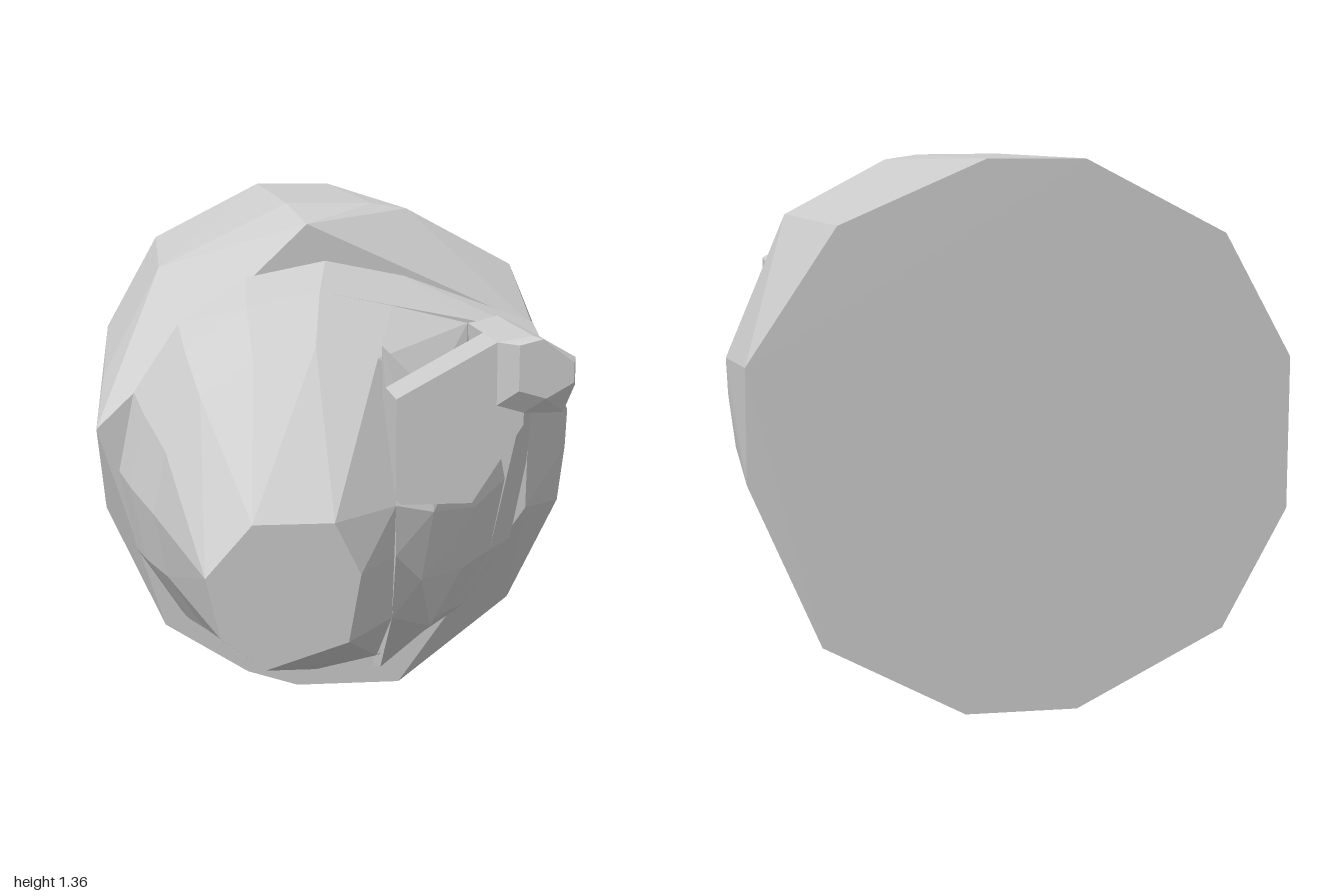
import * as THREE from 'three';
import { ConvexGeometry } from 'three/addons/geometries/ConvexGeometry.js';

// Lift a flat outline of [x, y] pairs to depth z
const at = (z, outline) => outline.map(([x, y]) => new THREE.Vector3(x, y, z));

// Elliptical section at depth z, optionally cut off at minX / maxX
function ring(left, right, bottom, top, z, minX = -9, maxX = 9, n = 16) {
  const pts = [];
  for (let i = 0; i < n; i++) {
    const a = (i / n) * Math.PI * 2;
    const x = (left + right) / 2 + Math.cos(a) * (right - left) / 2;
    const y = (bottom + top) / 2 + Math.sin(a) * (top - bottom) / 2;
    pts.push(new THREE.Vector3(THREE.MathUtils.clamp(x, minX, maxX), y, z));
  }
  return pts;
}

export function createModel() {
  const group = new THREE.Group();
  const material = new THREE.MeshStandardMaterial({ color: 0xcccccc, flatShading: true });

  const hull = (name, ...sections) => {
    const mesh = new THREE.Mesh(new ConvexGeometry(sections.flat()), material);
    mesh.name = name;
    group.add(mesh);
  };

  // Large faceted drum: back, shoulder and front sections
  hull('body',
    at(-1, [[0.1, 1.355], [0.455, 1.2], [0.675, 0.87], [0.675, 0.59], [0.5, 0.185], [0.15, 0],
      [-0.13, 0], [-0.5, 0.19], [-0.66, 0.49], [-0.66, 0.87], [-0.49, 1.175], [-0.14, 1.355]]),
    at(0.15, [[0.1, 1.35], [0.2, 1.335], [0.5, 1.175], [0.68, 0.75], [0.675, 0.64], [0.655, 0.48],
      [0.51, 0.19], [-0.66, 0.49], [-0.66, 0.87], [-0.5, 1.175], [-0.14, 1.352]]),
    at(0.33, [[-0.1, 1.305], [0.53, 1.02], [0.52, 0.5], [0.16, 0], [-0.13, 0], [-0.27, 0.045],
      [-0.5, 0.19], [-0.68, 0.75]]));

  // Two stepped collars in front of the drum
  hull('rearCollar',
    ring(-0.62, 0.52, 0.06, 1.205, 0.33),
    ring(-0.59, 0.44, 0.08, 1.13, 0.42),
    at(0.33, [[0.53, 1.03], [0.51, 0.83]]),
    at(0.42, [[0.53, 1.0], [0.33, 1.05]]));
  hull('frontCollar',
    ring(-0.59, 0.44, 0.08, 1.13, 0.42, -9, 0.33),
    ring(-0.53, 0.33, 0.12, 1.0, 0.56),
    at(0.42, [[0.33, 1.04]]));
  hull('collarSide',
    ring(-0.59, 0.44, 0.08, 1.13, 0.42, 0.075).filter((p) => p.y < 0.83),
    ring(-0.53, 0.33, 0.12, 1.0, 0.56, 0.075).filter((p) => p.y < 0.83));

  // Tapered snout with a small blunt end, flat on its +x side
  hull('snout',
    ring(-0.53, 0.33, 0.12, 1.0, 0.56, -9, 0.075),
    at(0.83, [[0.075, 0.63], [0.07, 0.5]]),
    at(0.77, [[0.075, 0.32]]),
    at(1, [[-0.3, 0.63], [-0.1, 0.63], [-0.035, 0.5], [-0.065, 0.33], [-0.27, 0.265],
      [-0.38, 0.35], [-0.415, 0.5]]));

  // Rounded cheek beside the snout
  hull('cheek',
    ring(-0.53, 0.33, 0.12, 1.0, 0.56, 0.075),
    at(0.62, [[0.27, 0.63], [0.28, 0.5], [0.2, 0.25]]),
    at(0.78, [[0.18, 0.6], [0.15, 0.42]]),
    at(0.83, [[0.075, 0.63], [0.075, 0.5]]),
    at(0.77, [[0.075, 0.32]]));

  // Slanted bracket joining the cheek to the side rod
  const bracket = [[0.075, 0.63], [0.27, 0.63], [0.34, 0.74], [0.4, 0.83], [0.4, 1.0], [0.33, 1.04], [0.075, 0.9]];
  hull('bracket', at(0.63, bracket), at(0.82, bracket));

  // Side rod running forward from the drum
  const rod = [[0.33, 1.04], [0.42, 1.055], [0.53, 1.0], [0.53, 0.93], [0.5, 0.83], [0.4, 0.83], [0.33, 0.88]];
  const tip = [[0.38, 1.035], [0.44, 1.05], [0.52, 0.99], [0.52, 0.94], [0.45, 0.9], [0.38, 0.92]];
  hull('rodBase', at(0.33, rod), at(0.56, rod));
  hull('rod', at(0.56, rod), at(0.82, rod.map(([x, y]) => [x, Math.max(y, 0.86)])), at(0.85, tip));

  return group;
}
